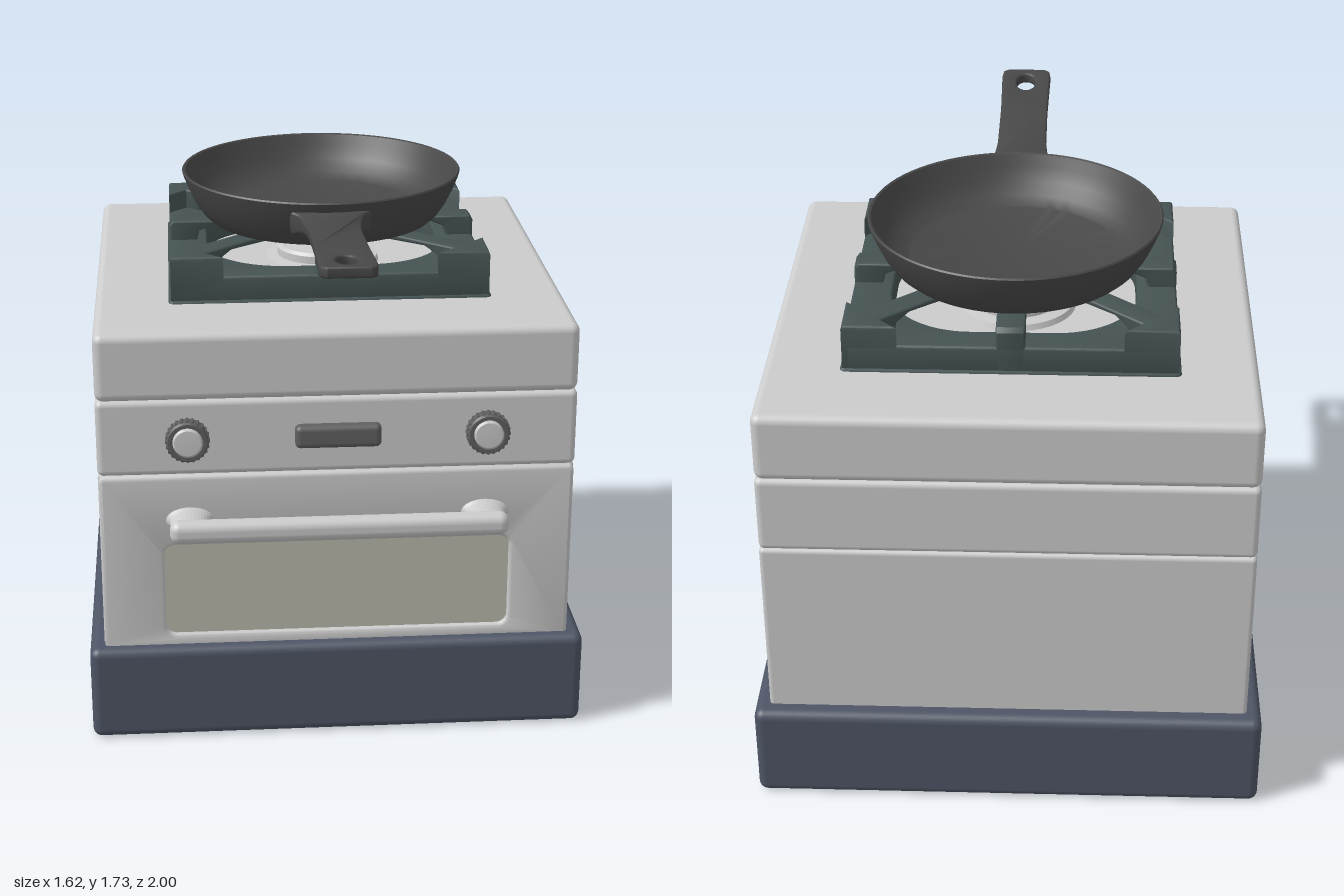
import * as THREE from 'three';
import { toCreasedNormals } from 'three/addons/utils/BufferGeometryUtils.js';
import { RoundedBoxGeometry } from 'three/addons/geometries/RoundedBoxGeometry.js';

const mat = (color) => new THREE.MeshStandardMaterial({ color });
const GREY = mat(0xcccccc), NAVY = mat(0x4e5565), GRATE = mat(0x465353),
  IRON = mat(0x484848), DARK = mat(0x606060), GLASS = mat(0xbcbbae);
const CZ = -0.187; // depth of the burner centre

function add(parent, name, geometry, material, x = 0, y = 0, z = 0) {
  const mesh = new THREE.Mesh(geometry, material);
  mesh.name = name;
  mesh.position.set(x, y, z);
  parent.add(mesh);
  return mesh;
}

// rounded box given by its limits on each axis
function block(parent, name, material, [x0, x1], [y0, y1], [z0, z1], r) {
  const g = new RoundedBoxGeometry(x1 - x0, y1 - y0, z1 - z0, 4, r);
  return add(parent, name, g, material, (x0 + x1) / 2, (y0 + y1) / 2, (z0 + z1) / 2);
}

function roundRect(path, hx, hy, r, cy = 0) {
  path.moveTo(hx - r, cy - hy);
  path.absarc(hx - r, cy - hy + r, r, -Math.PI / 2, 0);
  path.absarc(hx - r, cy + hy - r, r, 0, Math.PI / 2);
  path.absarc(-hx + r, cy + hy - r, r, Math.PI / 2, Math.PI);
  path.absarc(-hx + r, cy - hy + r, r, Math.PI, Math.PI * 1.5);
  path.closePath();
  return path;
}

// extrusion whose bevel stays inside the outline; starts at z = 0
function extrude(shape, depth, bevel) {
  const g = new THREE.ExtrudeGeometry(shape, {
    depth: depth - 2 * bevel, bevelThickness: bevel, bevelSize: bevel,
    bevelOffset: -bevel, bevelSegments: 3, curveSegments: 12,
  });
  g.translate(0, 0, bevel);
  return toCreasedNormals(g, 0.6);
}

function lathe(points, segments = 64) {
  const g = new THREE.LatheGeometry(points.map(([r, y]) => new THREE.Vector2(r, y)), segments);
  return toCreasedNormals(g, 0.5);
}

function buildDoor(stove) {
  const door = new THREE.Group();
  door.name = 'ovenDoor';
  stove.add(door);

  // door panel with the window opening
  const panel = roundRect(new THREE.Shape(), 0.762, 0.305, 0.02, 0.612);
  panel.holes.push(roundRect(new THREE.Path(), 0.56, 0.16, 0.035, 0.515));
  add(door, 'doorPanel', extrude(panel, 0.034, 0.012), GREY, 0, 0, 0.553);
  add(door, 'doorWindow', new THREE.BoxGeometry(1.14, 0.34, 0.01), GLASS, 0, 0.515, 0.564);

  // handle bar on two flared mounts
  block(door, 'doorHandleBar', GREY, [-0.54, 0.54], [0.728, 0.802], [0.645, 0.71], 0.03);
  for (const s of [-1, 1]) {
    const g = lathe([[1.4, 0.58], [1.2, 0.588], [1.06, 0.6], [1, 0.62], [1, 0.67], [0, 0.67]], 32);
    g.rotateX(Math.PI / 2);
    g.scale(0.063, 0.036, 1);
    g.computeVertexNormals();
    add(door, 'handleMount', g, GREY, s * 0.475, 0.765, 0);
  }
}

function buildControls(stove) {
  const ring = [[0.067, 0], [0.067, 0.042], [0.062, 0.05], [0.05, 0.05], [0.048, 0.042], [0, 0.042]];
  const cap = [[0.047, 0.03], [0.047, 0.05], [0.042, 0.055], [0, 0.057]];
  for (const s of [-1, 1]) {
    const knob = new THREE.Group();
    knob.name = 'knob';
    knob.position.set(s * 0.477, 1.045, 0.575);
    knob.rotation.x = Math.PI / 2;
    stove.add(knob);
    add(knob, 'knobRing', lathe(ring, 40), DARK);
    add(knob, 'knobCap', lathe(cap, 40), GREY);
    // grip ridges
    for (let i = 0; i < 24; i++) {
      const a = (i / 24) * Math.PI * 2;
      add(knob, 'knobRidge', new THREE.CylinderGeometry(0.005, 0.005, 0.04, 6), DARK,
        Math.cos(a) * 0.066, 0.022, Math.sin(a) * 0.066);
    }
  }
  block(stove, 'display', DARK, [-0.137, 0.137], [1.008, 1.084], [0.55, 0.615], 0.018);
}

function buildGrate(stove) {
  const grate = new THREE.Group();
  grate.name = 'grate';
  grate.position.z = CZ;
  stove.add(grate);
  const HX = 0.517, HZ = 0.465;

  // low frame around a rounded opening, with a foot flange
  for (const [name, grow, y0, y1] of [['grateFrame', 0, 1.38, 1.48], ['grateFoot', 0.008, 1.38, 1.4]]) {
    const frame = roundRect(new THREE.Shape(), HX + grow, HZ + grow, 0.02);
    frame.holes.push(roundRect(new THREE.Path(), 0.39, 0.36, 0.26));
    const g = extrude(frame, y1 - y0, 0.008);
    g.rotateX(-Math.PI / 2);
    add(grate, name, g, GRATE, 0, y0, 0);
  }

  // raised three-sided posts in the corners
  const sx = [-1, 1, 1, -1], sz = [-1, -1, 1, 1];
  for (let i = 0; i < 4; i++) {
    const x = sx[i] * HX, z = sz[i] * HZ, d = 0.17;
    const pts = [[x, z], [x - sx[i] * d, z], [x, z - sz[i] * d]].map(([a, b]) => new THREE.Vector2(a, -b));
    const g = extrude(new THREE.Shape(pts), 0.155, 0.012);
    g.rotateX(-Math.PI / 2);
    add(grate, 'gratePost', g, GRATE, 0, 1.39, 0);
  }

  // fingers reaching towards the burner
  const finger = (angle, R, width) => {
    const pts = [[R, 1.4], [R, 1.53], [R - 0.012, 1.545], [0.13, 1.545], [0.1, 1.525], [0.12, 1.508],
      [0.25, 1.524], [R - 0.15, 1.53], [R - 0.1, 1.51], [R - 0.09, 1.47], [R - 0.09, 1.4]];
    const g = extrude(new THREE.Shape(pts.reverse().map(([r, y]) => new THREE.Vector2(r, y))), width, 0.006);
    g.translate(0, 0, -width / 2);
    add(grate, 'grateFinger', g, GRATE).rotation.y = angle;
  };
  const diag = Math.atan2(HZ, HX);
  for (const a of [diag, Math.PI - diag, Math.PI + diag, -diag]) finger(a, 0.61, 0.08);
  for (let i = 0; i < 4; i++) finger(i * Math.PI / 2, i % 2 ? HZ : HX, 0.09);

  // burner below the grate
  add(grate, 'burner', lathe([[0.2, 1.385], [0.19, 1.41], [0.15, 1.415], [0.15, 1.44],
    [0.14, 1.45], [0, 1.452]]), GREY);
}

function buildPan(stove) {
  const pan = new THREE.Group();
  pan.name = 'fryingPan';
  stove.add(pan);

  const bowl = [[0, 1.545], [0.355, 1.545], [0.378, 1.552], [0.402, 1.573], [0.427, 1.61], [0.449, 1.655],
    [0.466, 1.698], [0.47, 1.712], [0.466, 1.717], [0.459, 1.714], [0.442, 1.68], [0.418, 1.635],
    [0.385, 1.598], [0.345, 1.577], [0.338, 1.574], [0, 1.574]];
  add(pan, 'panBowl', lathe(bowl, 80), IRON, 0, 0, CZ);

  // flat handle outline as half-width by z, mirrored
  const half = [[0.13, 0.262], [0.107, 0.285], [0.097, 0.32], [0.089, 0.38], [0.083, 0.45], [0.082, 0.7],
    [0.087, 0.95], [0.083, 0.985], [0.065, 1.0]];
  const outline = [...half, ...half.map(([w, z]) => [-w, z]).reverse()];
  const shape = new THREE.Shape(outline.map(([x, z]) => new THREE.Vector2(x, z)));
  shape.holes.push(new THREE.Path().absellipse(0, 0.9, 0.034, 0.062, 0, Math.PI * 2));
  const g = extrude(shape, 0.036, 0.007);
  g.translate(0, 0, -0.018);
  g.rotateX(Math.PI / 2);
  // slope upward to the tip, thicken towards the bowl
  const p = g.attributes.position;
  for (let i = 0; i < p.count; i++) {
    const z = p.getZ(i), t = Math.max(0, (0.4 - z) / 0.15);
    p.setY(i, 1.661 + (z - 0.4) * 0.085 + p.getY(i) * (1 + 1.2 * t * t));
  }
  add(pan, 'panHandle', toCreasedNormals(g, 0.6), IRON);
}

export function createModel() {
  const stove = new THREE.Group();
  stove.name = 'stove';

  // plinth and stacked body sections
  block(stove, 'base', NAVY, [-0.812, 0.812], [0, 0.322], [-1, 0.625], 0.03);
  block(stove, 'ovenBody', GREY, [-0.765, 0.765], [0.28, 0.92], [-0.945, 0.562], 0.015);
  block(stove, 'controlPanel', GREY, [-0.765, 0.765], [0.918, 1.172], [-0.945, 0.582], 0.02);
  block(stove, 'cooktop', GREY, [-0.765, 0.765], [1.168, 1.392], [-0.945, 0.582], 0.028);

  buildDoor(stove);
  buildControls(stove);
  buildGrate(stove);
  buildPan(stove);
  return stove;
}
